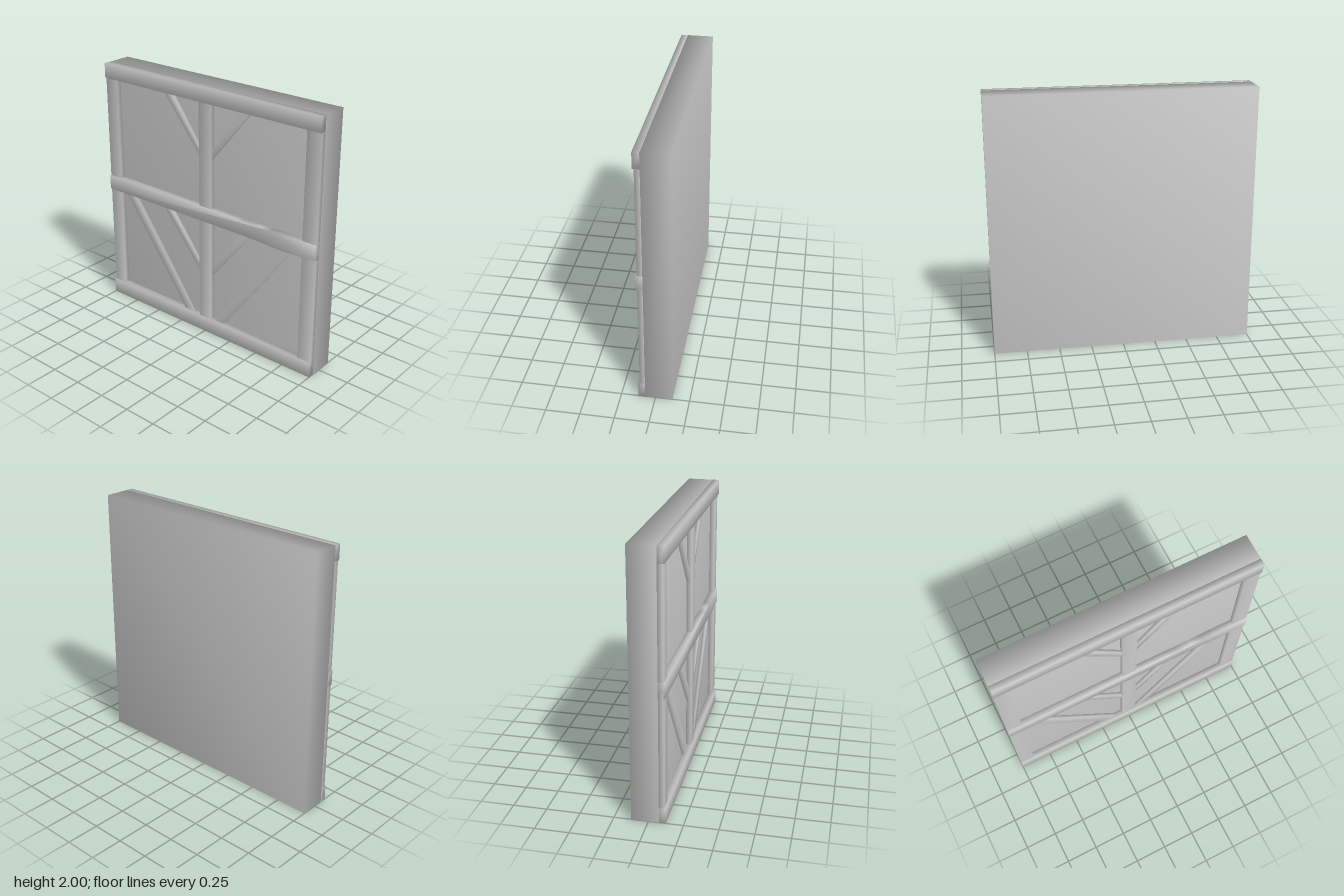
import * as THREE from 'three';
import { mergeVertices } from 'three/addons/utils/BufferGeometryUtils.js';

const WALL_BACK = -0.125, WALL_FRONT = 0.075;

export function createModel() {
  const model = new THREE.Group();
  model.name = 'timberFramedWall';
  const material = new THREE.MeshStandardMaterial({ color: 0xcccccc });

  // Extrude a front outline from z0 to z1, with normals shared across corners.
  function addPart(name, outline, z0, z1) {
    const shape = new THREE.Shape(outline.map(([x, y]) => new THREE.Vector2(x, y)));
    let geometry = new THREE.ExtrudeGeometry(shape, { depth: z1 - z0, bevelEnabled: false });
    geometry.translate(0, 0, z0);
    geometry.deleteAttribute('uv');
    geometry.deleteAttribute('normal');
    geometry = mergeVertices(geometry, 1e-4);
    geometry.computeVertexNormals();
    const mesh = new THREE.Mesh(geometry, material);
    mesh.name = name;
    model.add(mesh);
  }
  const rect = (x0, x1, y0, y1) => [[x0, y0], [x1, y0], [x1, y1], [x0, y1]];

  // Plaster panel
  addPart('wallPanel', rect(-1, 1, 0, 2), WALL_BACK, WALL_FRONT);

  // Horizontal beams; the middle one is slightly crooked
  const beamFront = 0.125;
  addPart('bottomBeam', rect(-1, 1, 0, 0.118), WALL_FRONT, beamFront);
  addPart('topBeam', rect(-1, 1, 1.885, 2), WALL_FRONT, beamFront);
  addPart('middleBeam', [
    [-1, 0.957], [0.4, 0.955], [0.72, 0.945], [1, 0.953],
    [1, 1.07], [0.62, 1.069], [0.52, 1.063], [0.4, 1.063], [0.3, 1.07], [-1, 1.07],
  ], WALL_FRONT, beamFront);

  // Vertical posts
  const postFront = 0.113;
  const posts = { rightPost: [-1, -0.885], centrePost: [-0.058, 0.055], leftPost: [0.882, 1] };
  for (const [name, [x0, x1]] of Object.entries(posts)) {
    addPart(name, rect(x0, x1, 0.001, 1.999), WALL_FRONT, postFront);
  }

  // Diagonal braces, each cut to meet the beams and the centre post
  const braceFront = 0.1;
  const braces = {
    upperRightBrace: [[-0.41, 1.89], [-0.058, 1.46], [-0.058, 1.535], [-0.335, 1.89]],
    upperLeftBrace: [[0.405, 1.89], [0.32, 1.89], [0.055, 1.535], [0.055, 1.46]],
    innerRightBrace: [[-0.435, 0.96], [-0.058, 0.505], [-0.058, 0.59], [-0.365, 0.96]],
    innerLeftBrace: [[0.42, 0.96], [0.34, 0.96], [0.055, 0.59], [0.055, 0.505]],
    outerRightBrace: [[-0.845, 0.96], [-0.22, 0.115], [-0.12, 0.115], [-0.75, 0.96]],
    outerLeftBrace: [[0.79, 0.95], [0.69, 0.95], [0.08, 0.115], [0.17, 0.115]],
  };
  for (const [name, outline] of Object.entries(braces)) {
    addPart(name, outline, WALL_FRONT, braceFront);
  }
  return model;
}
